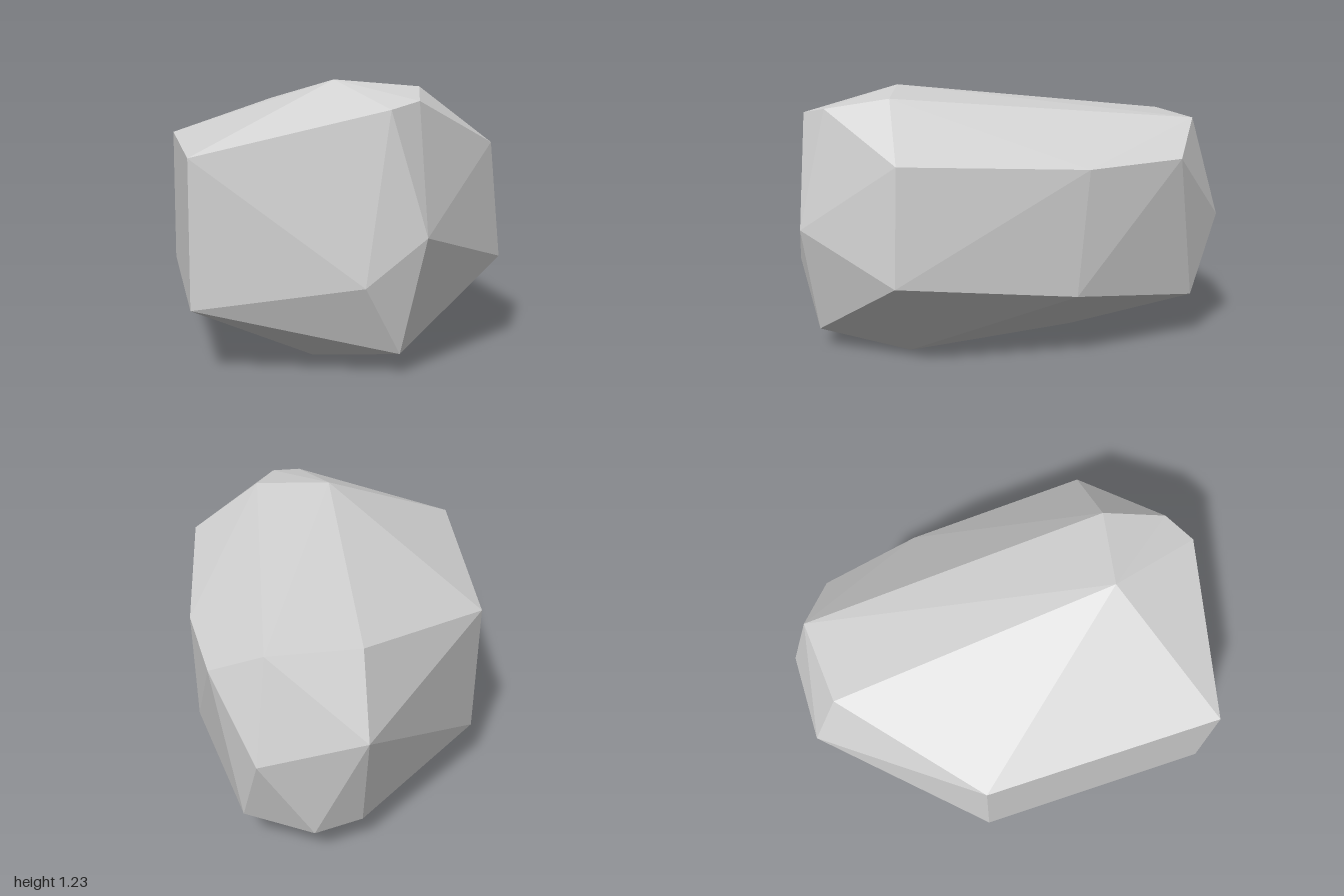
import * as THREE from 'three';
import { ConvexGeometry } from 'three/addons/geometries/ConvexGeometry.js';

export function createModel() {
  const group = new THREE.Group();
  group.name = 'boulder';

  const stone = new THREE.MeshStandardMaterial({ color: 0xd2d2d2, flatShading: true });
  stone.name = 'pale grey stone';

  // Corners of the faceted stone, grouped by side
  const corners = [
    // flat left wall
    [-0.708, 0.928, 0.803], [-0.708, 0.292, 0.803], [-0.708, 0.938, -0.32], [-0.708, 0.285, -0.32],
    // crown
    [-0.042, 1.23, 0.51], [0.327, 1.2, 0.587], [0.285, 1.073, -0.875], [-0.12, 1.08, -0.842],
    // front
    [0.1, 1.123, 0.96], [0.244, 1.152, 0.873], [0.25, 0.6, 1], [-0.01, 0.4, 1], [0.157, 0.092, 0.925],
    // right wall
    [0.663, 0.948, 0.6], [0.707, 0.428, 0.62], [0.635, 0.9, -0.26], [0.632, 0.32, -0.21],
    [0.527, 0.915, -0.73], [0.402, 0.223, -0.85],
    // back
    [-0.14, 0.705, -0.993], [0.33, 0.603, -1],
    // underside
    [0.29, 0, 0.51], [-0.18, 0.052, 0.74], [0.27, 0.07, -0.28], [0.087, 0.18, -0.945], [-0.132, 0.18, -0.86],
  ].map((p) => new THREE.Vector3(...p));

  const rock = new THREE.Mesh(new ConvexGeometry(corners), stone);
  rock.name = 'rock';
  group.add(rock);
  return group;
}
